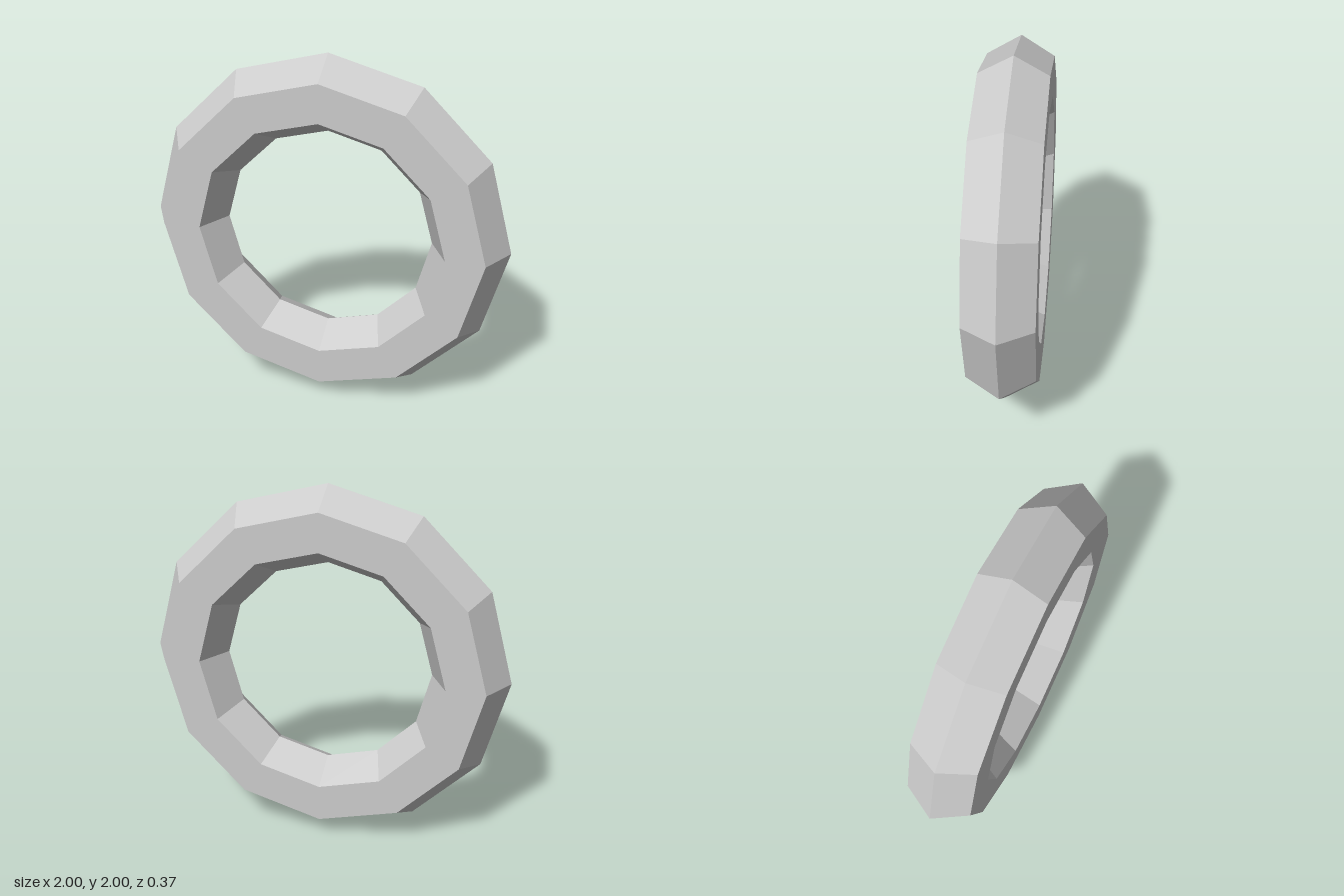
import * as THREE from 'three';

export function createModel() {
  const group = new THREE.Group();
  group.name = 'ringModel';

  // Twelve-sided ring with a hexagonal cross-section, points facing in and out
  const outerRadius = 1;
  const tubeRadius = 0.211;
  const ring = new THREE.Mesh(
    new THREE.TorusGeometry(outerRadius - tubeRadius, tubeRadius, 6, 12),
    new THREE.MeshStandardMaterial({ color: 0xcccccc, flatShading: true })
  );
  ring.name = 'ring';
  ring.position.y = outerRadius;
  group.add(ring);

  return group;
}
